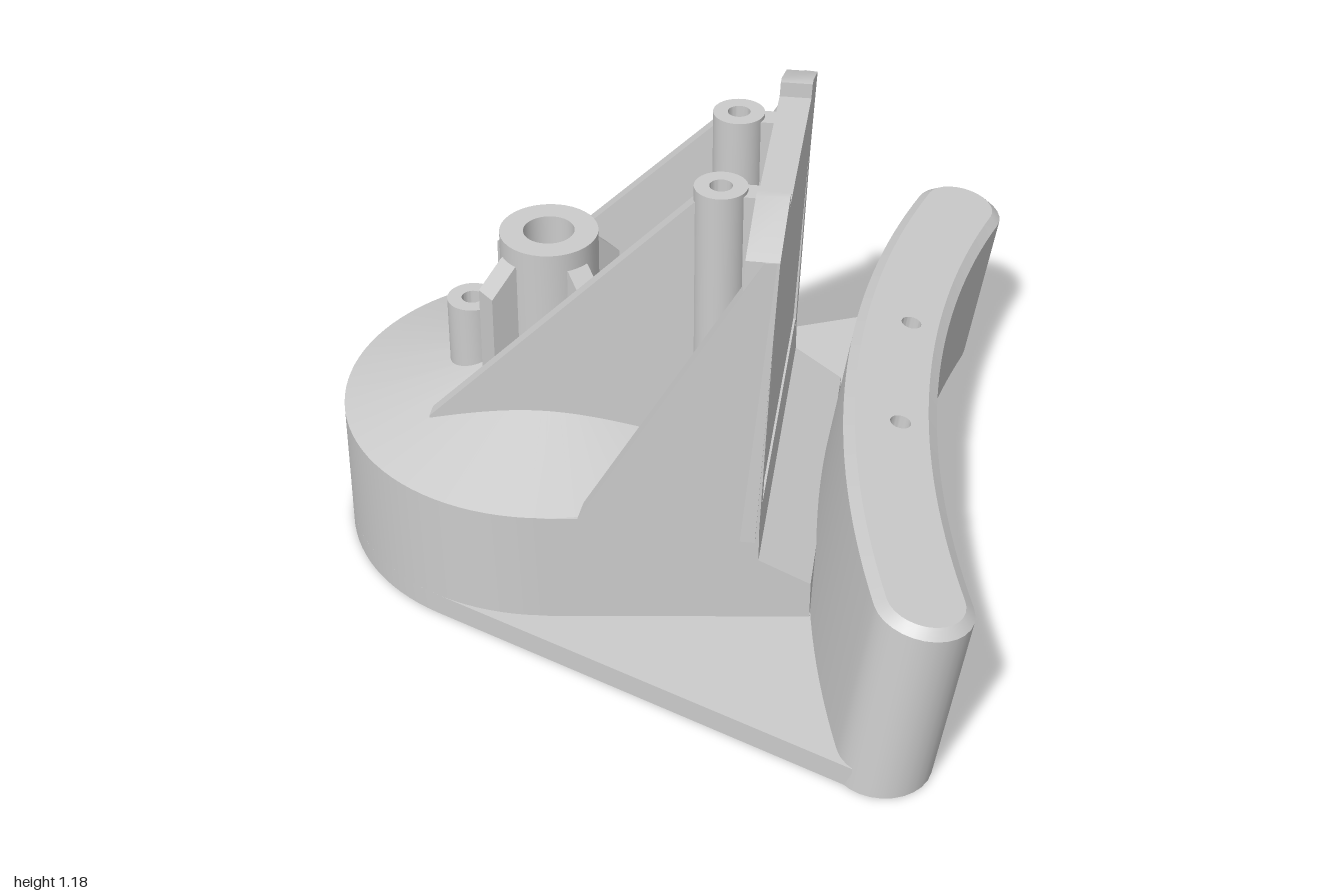
import * as THREE from 'three';
import { toCreasedNormals } from 'three/addons/utils/BufferGeometryUtils.js';

const mat = new THREE.MeshStandardMaterial({ color: 0xcccccc, side: THREE.DoubleSide });
const CUP_X = -0.295, CUP_R = 0.545, BORE_R = 0.5;
const V = (x, y) => new THREE.Vector2(x, y);
const toShape = (pts) => new THREE.Shape(pts.map((p) => V(p[0], p[1])));

function add(parent, name, geo) {
  const mesh = new THREE.Mesh(toCreasedNormals(geo, 0.5), mat);
  mesh.name = name;
  parent.add(mesh);
  return mesh;
}

// Moves every vertex by a rule
function warp(geo, rule) {
  const pos = geo.attributes.position, v = new THREE.Vector3();
  for (let i = 0; i < pos.count; i++) {
    rule(v.fromBufferAttribute(pos, i));
    pos.setXYZ(i, v.x, v.y, v.z);
  }
  return geo;
}

// Plan shape (x, -z) raised from y0 to y1
function slab(shape, y0, y1) {
  const g = new THREE.ExtrudeGeometry(shape, { depth: y1 - y0, bevelEnabled: false, curveSegments: 24 });
  return g.rotateX(-Math.PI / 2).translate(0, y0, 0);
}

// Side shape (x, y) with a thickness centred on z = 0
function plate(pts, thick) {
  const g = new THREE.ExtrudeGeometry(toShape(pts), { depth: thick, bevelEnabled: false });
  return g.translate(0, 0, -thick / 2);
}

function lathe(pts, segments) {
  return new THREE.LatheGeometry([...pts, pts[0]].map((p) => V(p[0], p[1])), segments);
}

const tube = (r, bore, y0, y1) => lathe([[bore, y0], [r, y0], [r, y1], [bore, y1]], 40);

function circlePath(x, y, r) {
  const p = new THREE.Path();
  p.absarc(x, y, r, 0, Math.PI * 2, true);
  return p;
}

function arc(cx, cy, r, a0, a1, n) {
  const pts = [];
  for (let i = 0; i <= n; i++) {
    const a = a0 + (a1 - a0) * i / n;
    pts.push([cx + r * Math.cos(a), cy + r * Math.sin(a)]);
  }
  return pts;
}

// Curved pad outline with round ends, shrunk by an inset
const PAD_X = 3.57, PAD_R = 2.98, PAD_A = 0.296, PAD_W = 0.117;
function padOutline(inset) {
  const w = PAD_W - inset, P = Math.PI, a = PAD_A;
  const ex = PAD_X - PAD_R * Math.cos(a), ey = PAD_R * Math.sin(a);
  return [
    ...arc(PAD_X, 0, PAD_R + w, P - a, P + a, 32),
    ...arc(ex, -ey, w, P + a, 2 * P + a, 14).slice(1),
    ...arc(PAD_X, 0, PAD_R - w, P + a, P - a, 32).slice(1),
    ...arc(ex, ey, w, 2 * P - a, 3 * P - a, 14).slice(1, -1),
  ];
}

// Leans the pad outward, slopes its top and drafts its ends
function lean(geo) {
  return warp(geo, (v) => {
    const top = 0.545 - 0.18 * (v.x - 0.475), t = v.y;
    v.y = t * top;
    v.x -= 0.15 * (top - v.y);
    v.z *= 1 + 0.015 * (1 - t);
  });
}

function buildPad(parent) {
  const pad = new THREE.Group();
  pad.name = 'curvedPad';
  const walls = toShape(padOutline(0));
  walls.holes.push(toShape(padOutline(0.05)));
  add(pad, 'padWalls', lean(slab(walls, 0, 0.96)));

  const cap = toShape(padOutline(0.025));
  for (const s of [-1, 1]) cap.holes.push(circlePath(0.62, s * 0.222, 0.026));
  add(pad, 'padTop', lean(slab(cap, 0.9, 1)));

  // Chamfer between walls and top
  const low = padOutline(0), high = padOutline(0.025), n = low.length, pos = [], idx = [];
  for (let i = 0; i < n; i++) {
    pos.push(low[i][0], 0.96, -low[i][1], high[i][0], 1, -high[i][1]);
    const a = 2 * i, b = 2 * ((i + 1) % n);
    idx.push(a, b, b + 1, a, b + 1, a + 1);
  }
  const rim = new THREE.BufferGeometry();
  rim.setAttribute('position', new THREE.Float32BufferAttribute(pos, 3));
  rim.setIndex(idx);
  add(pad, 'padChamfer', lean(rim));
  parent.add(pad);
}

export function createModel() {
  const model = new THREE.Group();
  model.name = 'bracket';
  const sideZ = (x) => 0.53 - 0.14 * (x + 0.14);

  // Round hollow base with a conical top
  add(model, 'roundBase', lathe([
    [BORE_R, 0], [CUP_R, 0], [CUP_R, 0.37], [0.065, 0.514], [0.065, 0.46], [BORE_R, 0.33],
  ], 96)).position.x = CUP_X;

  // Thin foot plate spreading from the base to the pad
  const foot = toShape([
    ...arc(CUP_X, 0, CUP_R, 1.983, 2 * Math.PI - 1.983, 40),
    [0.58, -0.976],
    ...arc(PAD_X - 0.08, 0, PAD_R + 0.09, Math.PI + PAD_A, Math.PI - PAD_A, 24),
    [0.58, 0.976],
  ]);
  foot.holes.push(circlePath(CUP_X, 0, BORE_R));
  add(model, 'footPlate', slab(foot, 0, 0.06));

  // Block between the base and the upright wall
  add(model, 'bodyBlock', slab(toShape([
    [-0.22, -sideZ(-0.22)], [0.3, -sideZ(0.3)], [0.3, sideZ(0.3)], [-0.22, sideZ(-0.22)],
    ...arc(CUP_X, 0, 0.525, 1.42, -1.42, 40),
  ]), 0, 0.37));

  // Sloped step below the wall
  add(model, 'wallStep', warp(
    plate([[0.27, 0], [0.43, 0], [0.43, 0.165], [0.285, 0.25], [0.27, 0.25]], 2),
    (v) => { v.z *= sideZ(v.x); }));

  // Leaning upright wall with a notched top
  const wall = new THREE.ExtrudeGeometry(toShape([
    [-0.475, 0.3], [0.475, 0.3], [0.465, 1.11], [0.29, 1.18], [0.265, 1.18], [0.265, 1.14],
    [-0.265, 1.14], [-0.265, 1.18], [-0.29, 1.18], [-0.465, 1.11],
  ]), { depth: 0.08, bevelEnabled: false });
  wall.rotateY(Math.PI / 2);
  add(model, 'uprightWall', warp(wall, (v) => { v.x += 0.208 + 0.05 * (v.y - 0.25); }));

  for (const s of [-1, 1]) {
    const side = s > 0 ? 'front' : 'back';
    // Outer gusset following the slanted side
    add(model, side + 'Gusset', warp(
      plate([[-0.14, 0.34], [0.3, 0.34], [0.328, 1.11], [0.297, 1.11], [-0.14, 0.37]], 0.05),
      (v) => { v.z += s * (sideZ(v.x) - 0.025); }));
    // Inner triangular rib
    add(model, side + 'Rib', warp(
      plate([[-0.57, 0.405], [0.15, 0.36], [0.15, 1.1], [0.1, 1.1], [-0.57, 0.43]], 0.042),
      (v) => { v.z += s * (0.222 - 0.05 * (v.x + 0.57)); }));
    // Tall screw post and its web to the wall
    add(model, side + 'TallPost', tube(0.065, 0.028, 0.36, 1.135)).position.set(0.16, 0, s * 0.182);
    const web = add(model, side + 'PostWeb', new THREE.BoxGeometry(0.055, 0.76, 0.06));
    web.position.set(0.235, 0.745, s * 0.182);
  }

  // Central hub with four diagonal fins
  add(model, 'hub', tube(0.125, 0.065, 0.47, 0.86)).position.x = CUP_X;
  for (let i = 0; i < 4; i++) {
    const fin = add(model, 'hubFin',
      plate([[0.1, 0.465], [0.196, 0.45], [0.196, 0.74], [0.125, 0.81], [0.1, 0.81]], 0.06));
    fin.position.x = CUP_X;
    fin.rotation.y = Math.PI / 4 + i * Math.PI / 2;
  }
  add(model, 'shortPost', tube(0.065, 0.028, 0.44, 0.64)).position.x = -0.5;

  buildPad(model);
  return model;
}
